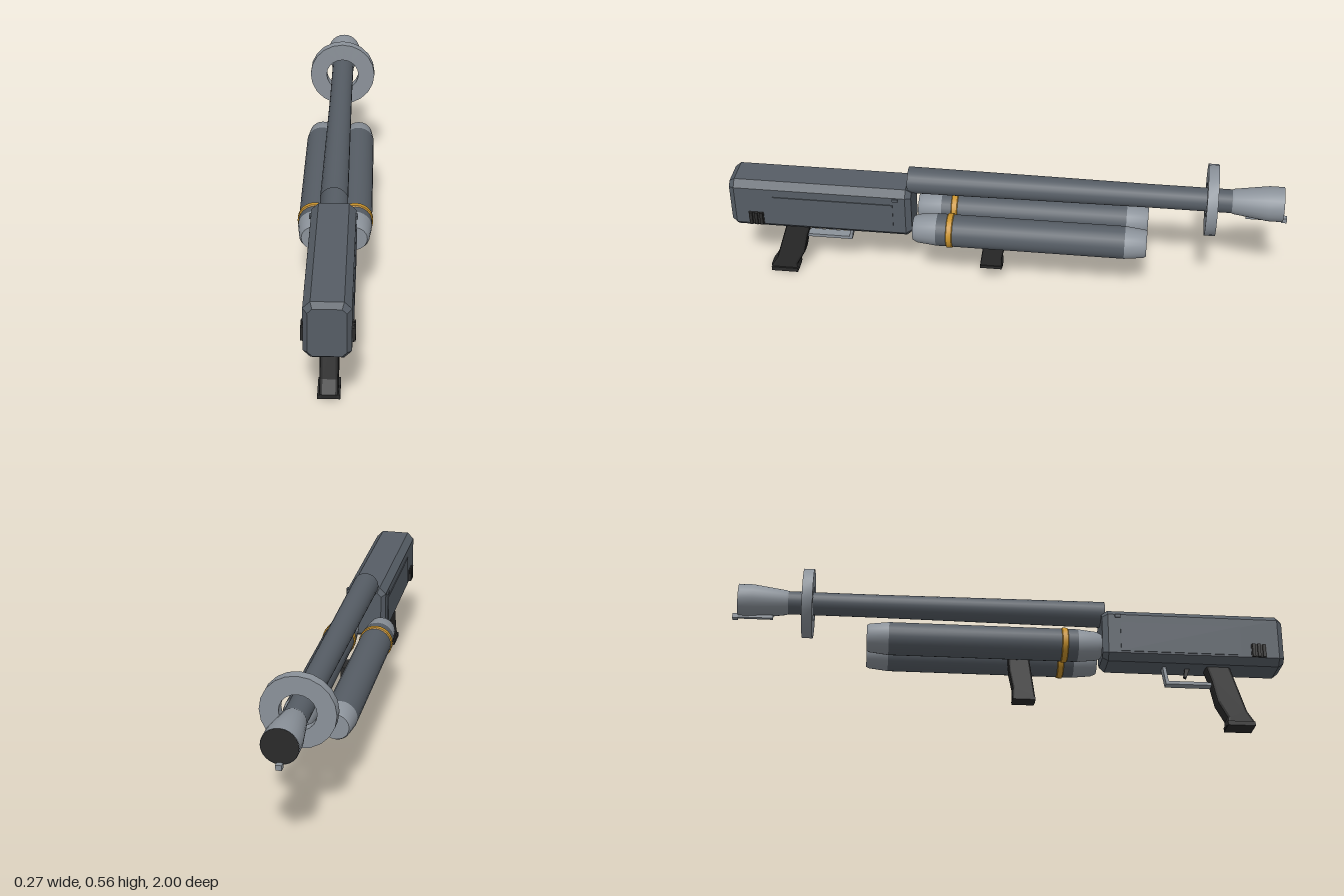
import * as THREE from 'three';
import { toCreasedNormals } from 'three/addons/utils/BufferGeometryUtils.js';

const material = (name, color, side = THREE.FrontSide) => {
  const m = new THREE.MeshStandardMaterial({ color, side });
  m.name = name;
  return m;
};

export function createModel() {
  const model = new THREE.Group();
  model.name = 'tankLauncher';

  const steel = material('dark steel', 0x565d65, THREE.DoubleSide);
  const light = material('light steel', 0x8b929a, THREE.DoubleSide);
  const black = material('black grip', 0x2a2a2a, THREE.DoubleSide);
  const amber = material('amber band', 0xc8922c);

  const add = (name, geo, mat, x = 0, y = 0, z = 0) => {
    const mesh = new THREE.Mesh(geo, mat);
    mesh.name = name;
    mesh.position.set(x, y, z);
    model.add(mesh);
    return mesh;
  };
  const box = (name, w, h, d, mat, x, y, z) => add(name, new THREE.BoxGeometry(w, h, d), mat, x, y, z);

  // Turned part along z; profile is [radius, z] with z ascending
  const turned = (profile, sides = 24) => toCreasedNormals(
    new THREE.LatheGeometry(profile.map(([r, z]) => new THREE.Vector2(r, z)), sides).rotateX(Math.PI / 2), 0.6);

  // Side outline given as [z, y], extruded across x with a small bevel
  const sideExtrude = (outline, width, bevel) => {
    const shape = new THREE.Shape(outline.map(([z, y]) => new THREE.Vector2(z, y)));
    const depth = width - 2 * bevel;
    return new THREE.ExtrudeGeometry(shape, {
      depth, bevelEnabled: bevel > 0, bevelSize: bevel, bevelThickness: bevel,
      bevelOffset: -bevel, bevelSegments: 2, curveSegments: 6,
    }).translate(0, 0, -depth / 2).rotateY(-Math.PI / 2);
  };

  // Receiver: chamfered box with bevelled ends
  const [hw, hh, c] = [0.076, 0.1, 0.024];
  const section = new THREE.Shape([
    [-hw + c, -hh], [hw - c, -hh], [hw, -hh + c], [hw, hh - c],
    [hw - c, hh], [-hw + c, hh], [-hw, hh - c], [-hw, -hh + c],
  ].map(([x, y]) => new THREE.Vector2(x, y)));
  add('receiver', new THREE.ExtrudeGeometry(section, {
    depth: 0.625, bevelSize: 0.015, bevelOffset: -0.015, bevelThickness: 0.02, bevelSegments: 1,
  }), steel, 0, 0.327, 0.355);

  // Side panels, pins and vents
  for (const s of [-1, 1]) {
    box('sidePanel', 0.008, 0.115, 0.44, steel, s * 0.075, 0.315, 0.62);
    box('sidePin', 0.012, 0.012, 0.02, steel, s * 0.076, 0.396, 0.39);
    box('ventPlate', 0.006, 0.05, 0.055, black, s * 0.077, 0.277, 0.905);
    for (let i = 0; i < 3; i++) {
      box('ventSlat', 0.014, 0.05, 0.011, black, s * 0.079, 0.277, 0.886 + i * 0.019);
    }
  }

  // Rear grip with a flared foot
  add('rearGrip', sideExtrude([
    [0.885, 0.003], [0.887, 0.018], [0.86, 0.06], [0.8, 0.25], [0.71, 0.25],
    [0.735, 0.17], [0.752, 0.09], [0.785, 0.03], [0.782, 0.003],
  ], 0.062, 0.01), black);
  box('gripFoot', 0.074, 0.016, 0.1, black, 0, 0.008, 0.834);

  // Trigger guard and trigger
  const guard = new THREE.Shape([
    [0.745, 0.16], [0.57, 0.16], [0.558, 0.235], [0.57, 0.235],
    [0.58, 0.172], [0.745, 0.172],
  ].map(([z, y]) => new THREE.Vector2(z, y)));
  add('triggerGuard', new THREE.ExtrudeGeometry(guard, { depth: 0.034, bevelEnabled: false })
    .translate(0, 0, -0.017).rotateY(-Math.PI / 2), light);
  add('trigger', sideExtrude([
    [0.663, 0.235], [0.645, 0.235], [0.638, 0.195], [0.648, 0.19],
  ], 0.014, 0), black);

  // Fore grip between the tanks
  add('foreGrip', sideExtrude([
    [0.094, 0.078], [0.092, 0.095], [0.07, 0.25], [-0.004, 0.25],
    [-0.002, 0.19], [0.012, 0.12], [0.01, 0.078],
  ], 0.05, 0.007), black);
  box('foreGripFoot', 0.056, 0.012, 0.08, black, 0, 0.082, 0.052);

  // Twin tanks with light end caps and amber bands
  for (const s of [-1, 1]) {
    const x = s * 0.07, y = 0.274;
    add('tankBody', turned([[0.059, -0.436], [0.059, 0.24]]), steel, x, y);
    add('tankRearCap', turned([[0, -0.514], [0.046, -0.514], [0.051, -0.505], [0.059, -0.436]]), light, x, y);
    add('tankFrontCap', turned([[0.059, 0.24], [0.052, 0.308], [0.044, 0.326], [0, 0.326]]), light, x, y);
    add('tankBand', turned([[0.057, 0.179], [0.063, 0.183], [0.063, 0.201], [0.057, 0.205]]), amber, x, y);
  }

  // Open barrel
  const axis = 0.436;
  add('barrel', turned([[0.042, -0.82], [0.042, -0.5], [0.048, 0.35]]), steel, 0, axis);

  // Flared nozzle with a dark mouth
  add('nozzle', turned([[0.062, -0.982], [0.062, -0.93], [0.045, -0.81], [0.041, -0.8]]), light, 0, axis);
  add('nozzleMouth', new THREE.CircleGeometry(0.061, 24).rotateY(Math.PI), black, 0, axis, -0.981);

  // Floating ring around the barrel
  add('heatRing', turned([
    [0.063, -0.75], [0.127, -0.75], [0.127, -0.712], [0.063, -0.712], [0.063, -0.75],
  ], 20), light, 0, axis);

  // Igniter under the nozzle
  box('igniterRod', 0.014, 0.012, 0.14, light, 0, 0.374, -0.925);
  box('igniterTip', 0.02, 0.018, 0.02, light, 0, 0.372, -0.99);

  return model;
}
